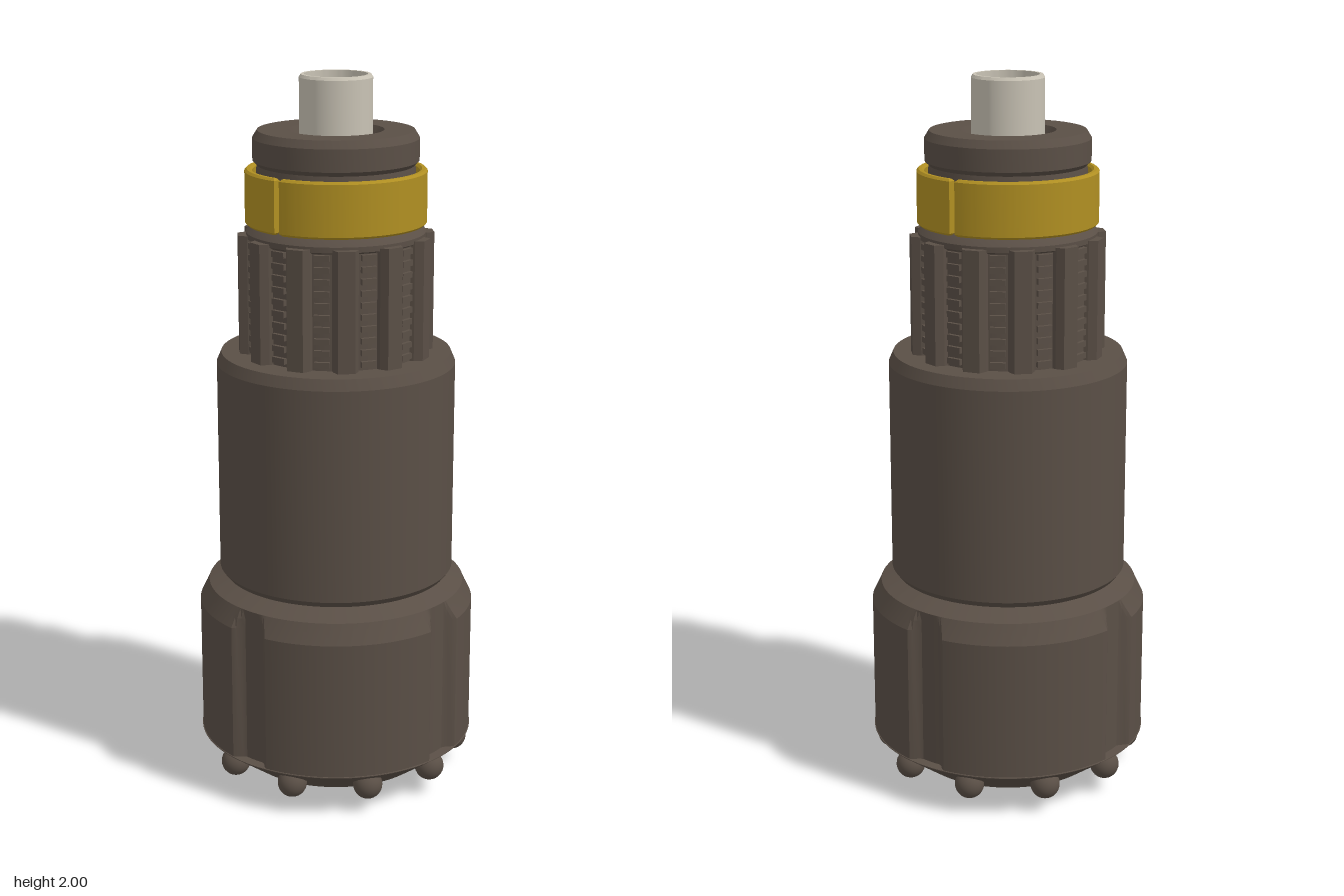
import * as THREE from 'three';
import { mergeGeometries, toCreasedNormals } from 'three/addons/utils/BufferGeometryUtils.js';

const steel = new THREE.MeshStandardMaterial({ color: 0x5a4f46 });
steel.name = 'dark steel';
const gold = new THREE.MeshStandardMaterial({ color: 0xb08f22 });
gold.name = 'gold';
const pale = new THREE.MeshStandardMaterial({ color: 0xc8c2b4 });
pale.name = 'pale plastic';

const BORE = 0.102;

function lathe(points, segments) {
  return new THREE.LatheGeometry(points.map(([r, y]) => new THREE.Vector2(r, y)), segments);
}

// Four shallow vertical flutes pressed into the side of the head
function cutFlutes(geometry) {
  const p = geometry.attributes.position;
  const quarter = Math.PI / 2;
  for (let i = 0; i < p.count; i++) {
    const x = p.getX(i), y = p.getY(i), z = p.getZ(i);
    const r = Math.hypot(x, z);
    if (y < 0.1305 || y > 0.578 || r < 0.3) continue;
    const a = Math.atan2(x, z);
    const t = Math.abs(a - Math.round(a / quarter) * quarter) * 0.39;
    const depth = 0.026 * THREE.MathUtils.clamp((0.058 - t) / 0.022, 0, 1);
    const k = Math.min(r, 0.388 - depth) / r;
    p.setXYZ(i, x * k, y, z * k);
  }
  return geometry;
}

export function createModel() {
  const model = new THREE.Group();
  function add(name, geometry, material) {
    const mesh = new THREE.Mesh(geometry, material);
    mesh.name = name;
    model.add(mesh);
    return mesh;
  }

  // Wide cutting head, with lip, flutes and top chamfer
  const head = cutFlutes(lathe([
    [BORE, 0.04], [0.27, 0.04], [0.39, 0.128], [0.39, 0.13], [0.388, 0.131],
    [0.388, 0.52], [0.374, 0.548], [0.362, 0.575], [0.35, 0.58], [0.27, 0.61],
  ], 240));
  add('head', toCreasedNormals(head, 0.35), steel);

  // Shank: sleeve, spline core, ring groove, top flange and through bore
  const shank = lathe([
    [0.27, 0.605], [0.317, 0.605], [0.33, 0.622], [0.33, 1.215], [0.317, 1.245],
    [0.236, 1.245], [0.236, 1.56], [0.245, 1.565], [0.245, 1.58], [0.232, 1.595],
    [0.215, 1.61], [0.215, 1.75], [0.213, 1.76], [0.225, 1.772], [0.225, 1.832],
    [0.212, 1.853], [0.13, 1.853], [BORE, 1.8], [BORE, 0.04],
  ], 96);
  add('shank', toCreasedNormals(shank, 0.35), steel);

  // Twelve spline teeth, with a ladder of small ribs in each groove
  const tooth = new THREE.Shape([
    [-0.036, 0.225], [0.036, 0.225], [0.034, 0.245], [0.023, 0.267], [-0.023, 0.267], [-0.034, 0.245],
  ].map(([x, y]) => new THREE.Vector2(x, y)));
  const teeth = [], ribs = [];
  for (let i = 0; i < 12; i++) {
    const g = new THREE.ExtrudeGeometry(tooth, { depth: 0.335, bevelEnabled: false });
    g.rotateX(Math.PI / 2).translate(0, 1.573, 0).rotateY((i + 0.5) * Math.PI / 6);
    teeth.push(g);
    for (let j = 0; j < 10; j++) {
      const rib = new THREE.BoxGeometry(0.042, 0.016, 0.02);
      rib.translate(0, 1.262 + j * 0.032, 0.236).rotateY(i * Math.PI / 6);
      ribs.push(rib);
    }
  }
  add('splineTeeth', mergeGeometries(teeth), steel);
  add('grooveRibs', mergeGeometries(ribs), steel);

  // Split retaining ring in two halves
  const bevel = 0.006, gap = 0.058;
  for (const side of [0, 1]) {
    const half = new THREE.Shape();
    const a0 = -Math.PI / 2 + gap, a1 = Math.PI / 2 - gap;
    half.absarc(0, 0, 0.247 - bevel, a0, a1, false);
    half.absarc(0, 0, 0.226 + bevel, a1, a0, true);
    const g = new THREE.ExtrudeGeometry(half, {
      depth: 0.15 - 2 * bevel, curveSegments: 48,
      bevelSize: bevel, bevelThickness: bevel, bevelSegments: 1,
    });
    g.rotateX(-Math.PI / 2).rotateY(side * Math.PI).translate(0, 1.6 + bevel, 0);
    add(side ? 'rightRingHalf' : 'leftRingHalf', toCreasedNormals(g, 0.35), gold);
  }

  // Hollow tube standing in the bore
  const tube = lathe([
    [0.085, 1.6], [0.099, 1.6], [0.099, 1.992], [0.094, 2], [0.085, 2], [0.085, 1.6],
  ], 64);
  add('airTube', toCreasedNormals(tube, 0.35), pale);

  // Rounded buttons on the cutting face: an outer and an inner ring
  const buttons = new THREE.Group();
  buttons.name = 'buttons';
  model.add(buttons);
  const ball = new THREE.SphereGeometry(0.041, 24, 16);
  for (const [count, radius, y, start] of [[10, 0.34, 0.081, 0], [6, 0.196, 0.041, Math.PI / 6]]) {
    for (let i = 0; i < count; i++) {
      const a = start + i * 2 * Math.PI / count;
      const button = new THREE.Mesh(ball, steel);
      button.name = 'button';
      button.position.set(radius * Math.cos(a), y, radius * Math.sin(a));
      buttons.add(button);
    }
  }
  return model;
}
